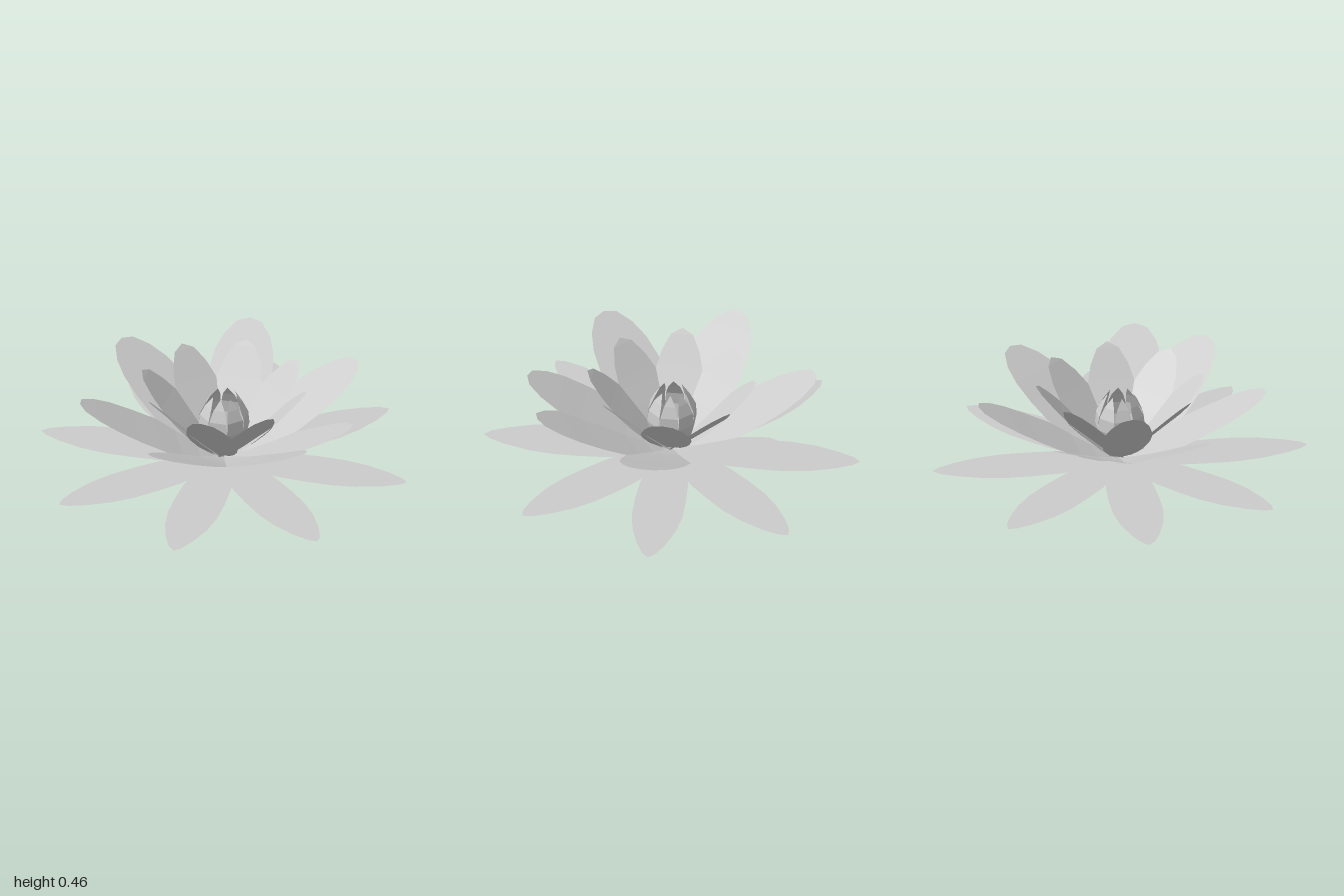
import * as THREE from 'three';

const material = new THREE.MeshStandardMaterial({
  color: 0xcccccc, flatShading: true, side: THREE.DoubleSide,
});

// A petal growing along +z from cross-sections [distance out, height, half width].
function petalGeometry(sections) {
  const positions = [], index = [];
  sections.forEach(([z, y, w], i) => {
    positions.push(-w, y, z, w, y, z);
    if (i === 0) return;
    const a = 2 * (i - 1);
    index.push(a, a + 2, a + 3, a, a + 3, a + 1);
  });
  const geometry = new THREE.BufferGeometry();
  geometry.setAttribute('position', new THREE.Float32BufferAttribute(positions, 3));
  geometry.setIndex(index);
  geometry.computeVertexNormals();
  return geometry;
}

// A whorl of identical petals, each turned by a fixed step about the stem axis.
function petalRing(name, sections, count, stepDegrees) {
  const ring = new THREE.Group();
  ring.name = name;
  const geometry = petalGeometry(sections);
  for (let i = 0; i < count; i++) {
    const petal = new THREE.Mesh(geometry, material);
    petal.name = `${name}Petal${i + 1}`;
    petal.rotation.y = THREE.MathUtils.degToRad(i * stepDegrees);
    ring.add(petal);
  }
  return ring;
}

export function createModel() {
  const flower = new THREE.Group();
  flower.name = 'waterLily';

  // Flat outer petals
  flower.add(petalRing('outer', [
    [0, 0, 0], [0.1, 0, 0.07], [0.2, 0, 0.105], [0.33, 0, 0.127], [0.48, 0, 0.135],
    [0.62, 0, 0.134], [0.75, 0, 0.115], [0.88, 0, 0.075], [0.965, 0, 0.035], [1, 0, 0],
  ], 8, 45));

  // Spreading middle petals, spiralling unevenly around the stem
  flower.add(petalRing('middle', [
    [0, 0.005, 0.015], [0.06, 0.025, 0.07], [0.14, 0.06, 0.12], [0.24, 0.11, 0.157],
    [0.35, 0.17, 0.175], [0.47, 0.235, 0.172], [0.59, 0.302, 0.155], [0.68, 0.351, 0.12],
    [0.75, 0.389, 0.065], [0.77, 0.4, 0],
  ], 7, -55));

  // Upright inner petals
  flower.add(petalRing('inner', [
    [0, 0.005, 0.01], [0.05, 0.04, 0.06], [0.12, 0.11, 0.105], [0.2, 0.195, 0.13],
    [0.27, 0.268, 0.132], [0.31, 0.31, 0.12], [0.365, 0.37, 0.1], [0.425, 0.435, 0.058],
    [0.45, 0.46, 0],
  ], 8, 45));

  // Closed bud of incurved petals with an open, toothed mouth
  flower.add(petalRing('bud', [
    [0, 0.01, 0], [0.06, 0.05, 0.026], [0.105, 0.12, 0.044], [0.125, 0.2, 0.052],
    [0.12, 0.27, 0.047], [0.095, 0.33, 0.031], [0.065, 0.385, 0],
  ], 8, 45));

  return flower;
}
